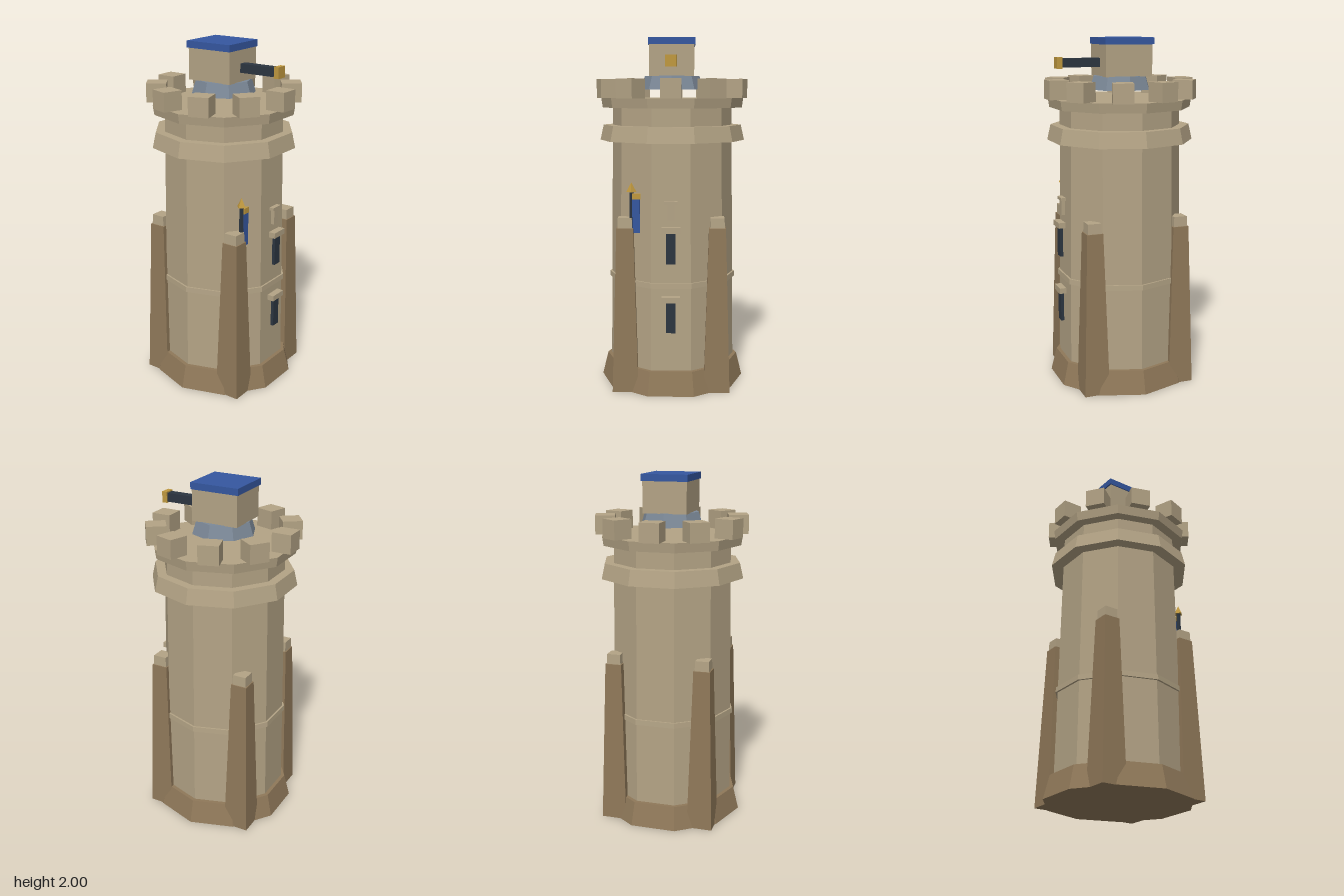
import * as THREE from 'three';

const mat = (name, color) => {
  const m = new THREE.MeshStandardMaterial({ color, flatShading: true });
  m.name = name;
  return m;
};

export function createModel() {
  const stone = mat('stone', 0xb3a385);
  const darkStone = mat('dark stone', 0x8f7859);
  const slate = mat('slate', 0x7c8998);
  const iron = mat('iron', 0x2c3540);
  const blue = mat('blue', 0x3557a0);
  const gold = mat('gold', 0xbf983f);

  const group = new THREE.Group();
  group.name = 'watchtower';

  const add = (name, geometry, material, x = 0, y = 0, z = 0) => {
    const mesh = new THREE.Mesh(geometry, material);
    mesh.name = name;
    mesh.position.set(x, y, z);
    group.add(mesh);
    return mesh;
  };
  // Box given by its size, its bottom height and its centre in x and z
  const box = (name, material, w, h, d, x, y0, z) =>
    add(name, new THREE.BoxGeometry(w, h, d), material, x, y0 + h / 2, z);
  // Upright prism or frustum between two heights, turned by an angle
  const frustum = (name, material, sides, r0, r1, y0, y1, turn, x = 0, z = 0) => {
    const g = new THREE.CylinderGeometry(r1, r0, y1 - y0, sides, 1, false, turn);
    return add(name, g, material, x, (y0 + y1) / 2, z);
  };

  // Ten-sided tower body with a flat side at the front
  const SIDES = 10, TURN = Math.PI / SIDES;
  const tiers = [
    ['plinth', darkStone, 0.42, 0.387, 0, 0.135],
    ['shaft', stone, 0.365, 0.345, 0.13, 1.61],
    ['stringCourse', stone, 0.371, 0.369, 0.61, 0.64],
    ['collar', stone, 0.42, 0.4, 1.42, 1.508],
    ['parapetFloor', stone, 0.405, 0.413, 1.608, 1.662],
  ];
  for (const [name, m, r0, r1, y0, y1] of tiers) frustum(name, m, SIDES, r0, r1, y0, y1, TURN);

  // Merlons, one over each flat side
  for (let i = 0; i < SIDES; i++) {
    const a = (i / SIDES) * Math.PI * 2;
    const merlon = box('merlon', stone, 0.113, 0.107, 0.113, Math.sin(a) * 0.377, 1.662, Math.cos(a) * 0.377);
    merlon.rotation.y = a;
  }

  // Tapered corner buttresses with caps
  for (const sx of [-1, 1]) for (const sz of [-1, 1]) {
    const x = sx * 0.259, z = sz * 0.259;
    frustum('buttress', darkStone, 4, 0.074 * Math.SQRT2, 0.047 * Math.SQRT2, 0, 0.942, Math.PI / 4, x, z);
    frustum('buttressCap', stone, 4, 0.041 * Math.SQRT2, 0.039 * Math.SQRT2, 0.94, 1.0, Math.PI / 4, x, z);
  }

  // Arrow slits with lintels
  for (const y of [0.362, 0.754]) {
    box('arrowSlit', iron, 0.052, 0.178, 0.018, 0, y, 0.369);
    box('lintel', stone, 0.104, 0.032, 0.04, 0, y + 0.174, 0.372);
  }

  // Small stone bracket above the slits
  box('bracketStem', stone, 0.038, 0.088, 0.022, 0, 0.998, 0.354);
  box('bracketTop', stone, 0.074, 0.017, 0.028, 0, 1.085, 0.357);

  // Banner on its pole
  frustum('bannerPole', iron, 6, 0.013, 0.013, 0.92, 1.15, 0, -0.222, 0.28);
  frustum('poleFinial', gold, 4, 0.028, 0.001, 1.145, 1.197, 0, -0.222, 0.28);
  box('banner', blue, 0.042, 0.19, 0.018, -0.196, 0.915, 0.285);
  box('bannerTrim', gold, 0.046, 0.033, 0.022, -0.194, 1.103, 0.285);

  // Turret: slate ring, cabin, roof and gun
  frustum('turretRing', slate, 8, 0.182, 0.158, 1.71, 1.787, 0);
  box('turretCabin', stone, 0.254, 0.18, 0.276, 0, 1.785, -0.01);
  box('turretRoof', blue, 0.267, 0.038, 0.29, 0, 1.962, -0.012);
  box('gunBarrel', iron, 0.05, 0.05, 0.25, 0, 1.837, 0.23);
  box('gunMuzzle', gold, 0.063, 0.063, 0.03, 0, 1.831, 0.365);

  return group;
}
